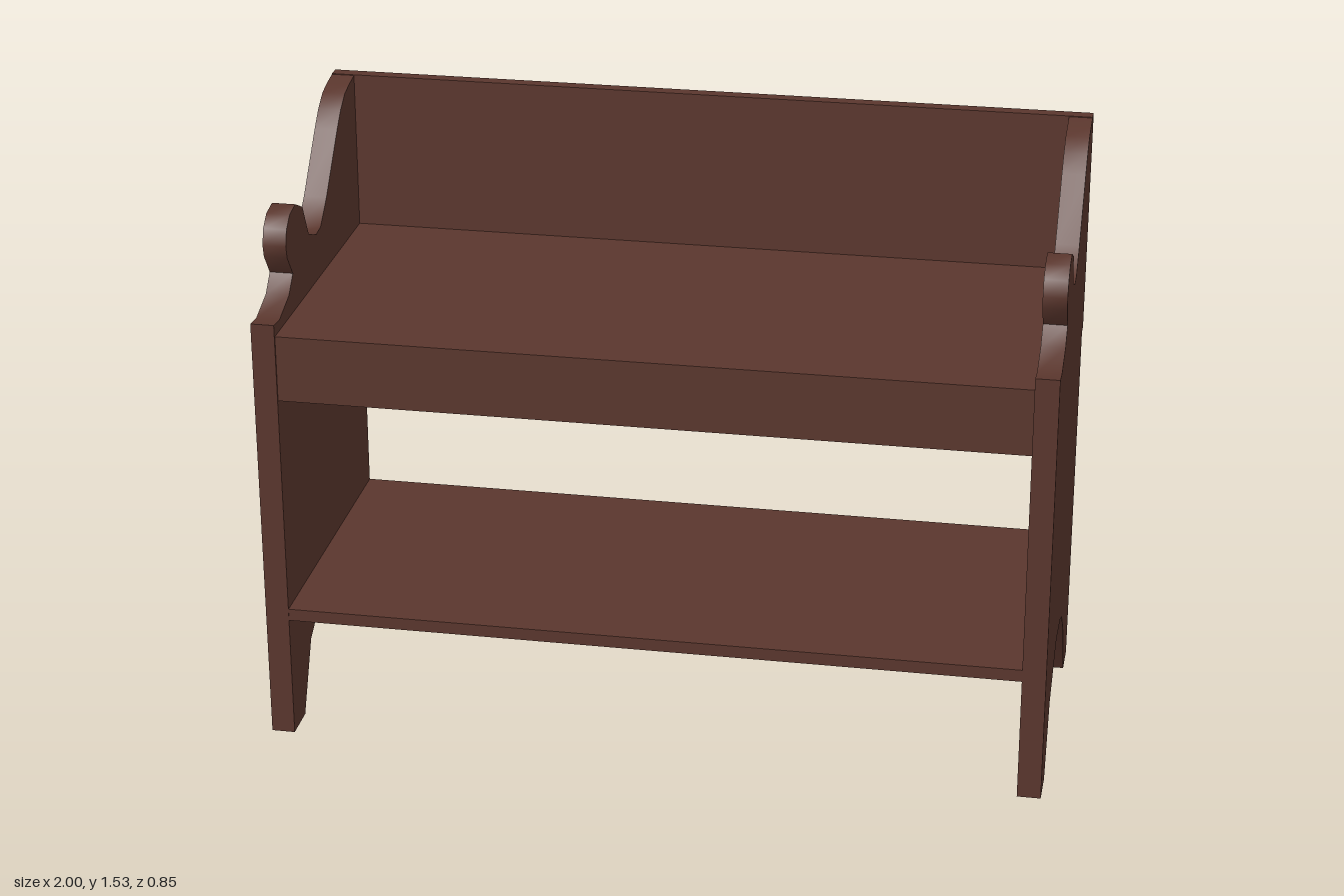
import * as THREE from 'three';
import { toCreasedNormals } from 'three/addons/utils/BufferGeometryUtils.js';

export function createModel() {
  const model = new THREE.Group();
  model.name = 'bench';
  const wood = new THREE.MeshStandardMaterial({ color: 0x5a362d });
  wood.name = 'dark brown wood';

  const THICK = 0.06; // side board thickness
  const INNER = 2 - 2 * THICK;

  // Side board outline as (z, y): feet and arch, then the scrolled armrest
  const outline = [
    [0.42, 0], [0.32, 0], [0.235, 0.18], [0.077, 0.276], [-0.045, 0.272],
    [-0.11, 0.247], [-0.207, 0.154], [-0.292, 0], [-0.39, 0],
    [-0.39, 1.528], [-0.34, 1.52], [-0.295, 1.509], [-0.25, 1.48], [-0.21, 1.44],
    [-0.085, 1.298], [-0.02, 1.24], [0.025, 1.235], [0.09, 1.262],
    [0.134, 1.351], [0.195, 1.38], [0.247, 1.371], [0.28, 1.343],
    [0.292, 1.302], [0.285, 1.27], [0.243, 1.213], [0.285, 1.17],
    [0.375, 1.14], [0.425, 1.145],
  ].map(([z, y]) => new THREE.Vector2(z, y));

  const sideGeometry = toCreasedNormals(
    new THREE.ExtrudeGeometry(new THREE.Shape(outline), { depth: THICK, bevelEnabled: false })
      .rotateY(-Math.PI / 2).translate(THICK / 2, 0, 0),
    0.7,
  );
  for (const [name, s] of [['leftSide', 1], ['rightSide', -1]]) {
    const side = new THREE.Mesh(sideGeometry, wood);
    side.name = name;
    side.position.x = s * (1 - THICK / 2);
    model.add(side);
  }

  // Flat board from its y and z extents
  function board(name, width, y0, y1, z0, z1) {
    const mesh = new THREE.Mesh(new THREE.BoxGeometry(width, y1 - y0, z1 - z0), wood);
    mesh.name = name;
    mesh.position.set(0, (y0 + y1) / 2, (z0 + z1) / 2);
    model.add(mesh);
  }

  board('backPanel', 2, 0.94, 1.53, -0.425, -0.39);
  board('seat', INNER, 1.08, 1.113, -0.39, 0.42);
  board('frontApron', INNER, 0.94, 1.08, 0.385, 0.42);
  board('lowerShelf', INNER, 0.326, 0.358, -0.39, 0.42);

  return model;
}
